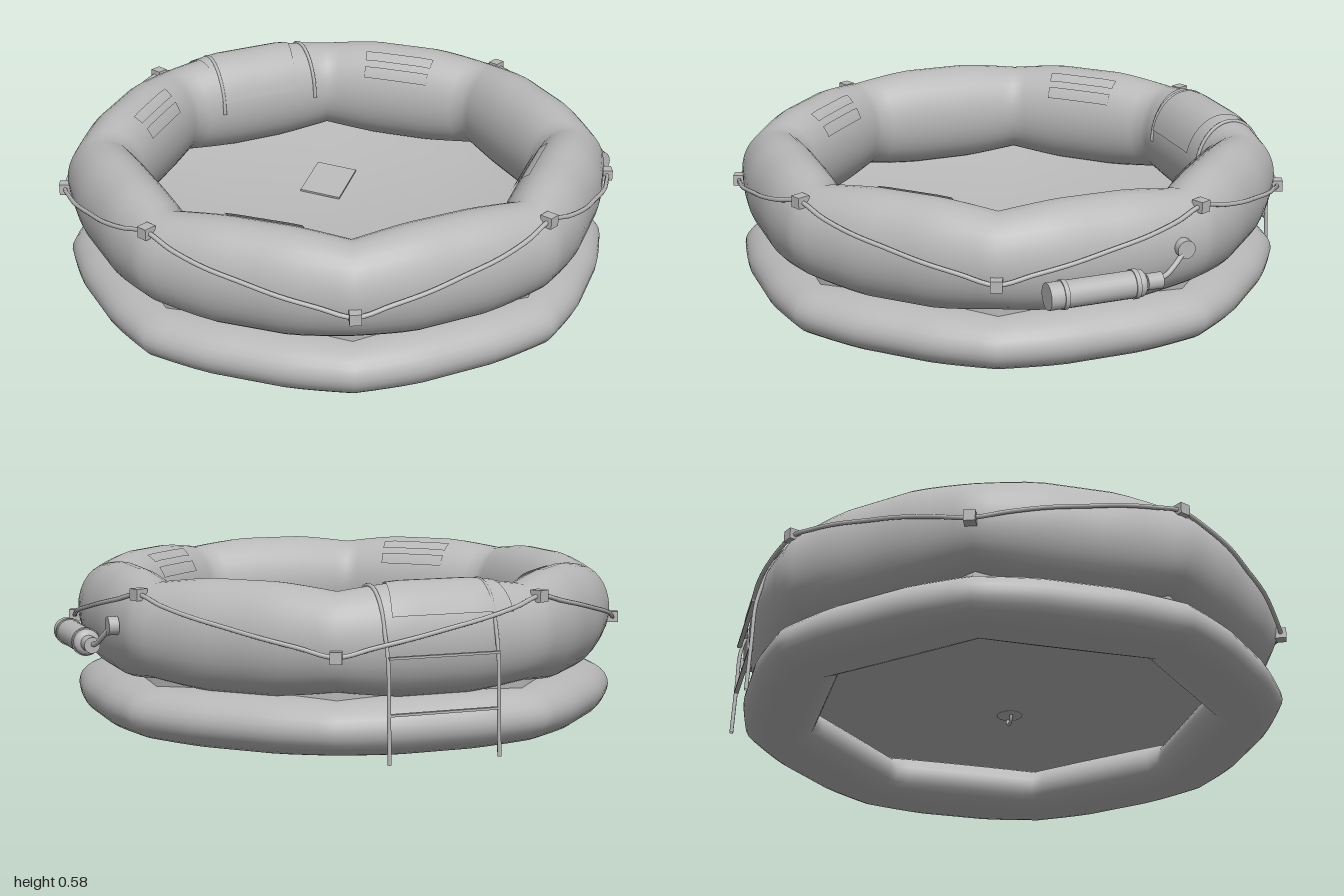
import * as THREE from 'three';
import { mergeVertices } from 'three/addons/utils/BufferGeometryUtils.js';

const grey = new THREE.MeshStandardMaterial({ color: 0xb8b8b8, side: THREE.DoubleSide });
grey.name = 'grey rubber';

const TAN = Math.tan(Math.PI / 8);
const SIDES = [0, 1, 2, 3, 4, 5, 6, 7];
const UPPER = { y: 0.39, ry: 0.19, rr: 0.14, inner: 0.67, pinchY: 0.13 };
const LOWER = { y: 0.108, ry: 0.099, rr: 0.142, inner: 0.668, pinchY: 0.07 };
const V = (x, y, z) => new THREE.Vector3(x, y, z);

function add(parent, name, geometry, x = 0, y = 0, z = 0) {
  const mesh = new THREE.Mesh(geometry, grey);
  mesh.name = name;
  mesh.position.set(x, y, z);
  parent.add(mesh);
  return mesh;
}

// Tube section at t (-1..1) along a side: pinched at the corners, full in the middle
function section(tube, t) {
  const pinch = Math.pow(Math.max(0, (Math.abs(t) - 0.35) / 0.65), 1.2);
  const rr = tube.rr * (1 - 0.14 * pinch);
  return { rr, ry: tube.ry * (1 - tube.pinchY * pinch), mid: tube.inner + rr };
}

// Point on octagon side k, at distance a from the middle and t along the side
function sidePoint(k, a, t, y) {
  const f = (k * Math.PI) / 4, s = a * TAN * t;
  return V(a * Math.cos(f) - s * Math.sin(f), y, a * Math.sin(f) + s * Math.cos(f));
}

function tubePoint(tube, k, t, angle, off = 0) {
  const { rr, ry, mid } = section(tube, t);
  return sidePoint(k, mid + (rr + off) * Math.cos(angle), t, tube.y + (ry + off) * Math.sin(angle));
}

// Outer distance of the upper tube at height y
function outerAt(t, y) {
  const { rr, ry, mid } = section(UPPER, t);
  return mid + rr * Math.sqrt(Math.max(0, 1 - ((y - UPPER.y) / ry) ** 2));
}

// Skin over part of the tube on the given sides, joined smoothly
function skin(tube, sides, t0, t1, a0, a1, nt, na, off = 0) {
  const pos = [], index = [];
  for (const k of sides) {
    const first = pos.length / 3;
    for (let i = 0; i <= nt; i++) {
      for (let j = 0; j <= na; j++) {
        const p = tubePoint(tube, k, t0 + ((t1 - t0) * i) / nt, a0 + ((a1 - a0) * j) / na, off);
        pos.push(p.x, p.y, p.z);
        if (i < nt && j < na) {
          const a = first + i * (na + 1) + j, b = a + na + 1;
          index.push(a, a + 1, b, a + 1, b + 1, b);
        }
      }
    }
  }
  let geometry = new THREE.BufferGeometry();
  geometry.setAttribute('position', new THREE.Float32BufferAttribute(pos, 3));
  geometry.setIndex(index);
  geometry = mergeVertices(geometry, 1e-4);
  geometry.computeVertexNormals();
  return geometry;
}

function pipe(points, radius, closed = false, steps = points.length * 4) {
  return new THREE.TubeGeometry(new THREE.CatmullRomCurve3(points, closed, 'centripetal'), steps, radius, 8, closed);
}

// Cylinder lying along z
function lying(radius, length) {
  return new THREE.CylinderGeometry(radius, radius, length, 24).rotateX(Math.PI / 2);
}

function buildFloor(parent) {
  // Octagon sagging towards the middle
  const rings = 8, low = 0.095, pos = [0, low, 0], index = [];
  for (let r = 1; r <= rings; r++) {
    const u = r / rings;
    for (let k = 0; k < 8; k++) {
      const p = sidePoint(k, 0.81 * u, 1, low + 0.12 * u * u);
      pos.push(p.x, p.y, p.z);
      const a = 1 + (r - 1) * 8 + k, b = 1 + (r - 1) * 8 + ((k + 1) % 8);
      if (r === 1) index.push(0, b, a);
      else index.push(a - 8, b - 8, a, b - 8, b, a);
    }
  }
  const geometry = new THREE.BufferGeometry();
  geometry.setAttribute('position', new THREE.Float32BufferAttribute(pos, 3));
  geometry.setIndex(index);
  geometry.computeVertexNormals();
  add(parent, 'floor', geometry);
  const cap = add(parent, 'floorCap', new THREE.SphereGeometry(0.045, 20, 10), 0, low, 0);
  cap.scale.y = 0.15;
  add(parent, 'floorHook', new THREE.TorusGeometry(0.025, 0.006, 8, 16, Math.PI).rotateX(Math.PI), 0, low - 0.008, 0);
  const pocket = add(parent, 'floorPocket', new THREE.BoxGeometry(0.2, 0.008, 0.16), 0.16, 0.141, -0.42);
  pocket.quaternion.setFromUnitVectors(V(0, 1, 0), V(-0.06, 1, 0.155).normalize());
  pocket.rotateY(Math.PI / 4);
}

function buildRope(parent) {
  // Lifeline zigzagging between low and high corner clips
  const points = [];
  for (let k = 0; k < 8; k++) {
    const end = k % 2 ? 0.52 : 0.36, start = k % 2 ? 0.36 : 0.52;
    for (let i = 0; i < 6; i++) {
      const t = -1 + i / 3;
      const y = start + ((end - start) * (t + 1)) / 2;
      points.push(sidePoint(k, outerAt(t, y) + 0.012, t, y));
    }
    const clip = add(parent, 'ropeClip', new THREE.BoxGeometry(0.045, 0.04, 0.04));
    clip.position.copy(sidePoint(k, outerAt(1, end) + 0.01, 1, end));
    clip.rotation.y = -(k + 0.5) * Math.PI / 4;
  }
  add(parent, 'lifeline', pipe(points, 0.008, true, 240));
}

function buildLadder(parent) {
  const rails = [-0.17, 0.22];
  for (const x of rails) {
    const t = -x / (0.81 * TAN);
    const points = [];
    for (let i = 0; i <= 8; i++) {
      const p = tubePoint(UPPER, 6, t, Math.PI * (1 - (i / 8) * 0.9), 0.002);
      points.push(V(x, p.y, p.z));
    }
    points.push(V(x, 0.34, -0.965), V(x, 0.2, -0.972), V(x, 0.01, -0.98));
    add(parent, 'ladderRail', pipe(points, 0.007));
  }
  for (const y of [0.17, 0.355]) {
    add(parent, 'ladderRung', new THREE.BoxGeometry(0.39, 0.008, 0.016), 0.025, y, -0.972);
  }
  // Boarding pad over the tube between the rails
  add(parent, 'boardingPad', skin(UPPER, [6], -0.64, 0.5, 0.5, 2.9, 8, 16, 0.005));
}

function buildBottle(parent) {
  // Gas bottle strapped to the side, with hose and valve
  const x = 0.99, y = 0.325;
  add(parent, 'bottleBody', lying(0.046, 0.325), x, y, 0.0725);
  const shoulder = add(parent, 'bottleShoulder', new THREE.SphereGeometry(0.046, 24, 12), x, y, -0.09);
  shoulder.scale.z = 0.5;
  for (const z of [0.18, -0.07]) add(parent, 'bottleBand', lying(0.05, 0.016), x, y, z);
  add(parent, 'bottleNeck', lying(0.028, 0.055), x, y, -0.14);
  add(parent, 'bottleHose', pipe([
    V(x, y, -0.15), V(x - 0.01, 0.335, -0.19), V(x - 0.02, 0.36, -0.225), V(x - 0.04, 0.4, -0.27),
  ], 0.009));
  add(parent, 'hoseValve', new THREE.CylinderGeometry(0.032, 0.032, 0.035, 20).rotateZ(Math.PI / 2), x - 0.045, 0.405, -0.272);
}

export function createModel() {
  const model = new THREE.Group();
  model.name = 'inflatableRaft';
  const raft = new THREE.Group();
  raft.name = 'raft';
  raft.position.set(-0.038, 0, 0.01);
  model.add(raft);

  add(raft, 'upperTube', skin(UPPER, SIDES, -1, 1, 0, Math.PI * 2, 12, 32));
  add(raft, 'lowerTube', skin(LOWER, SIDES, -1, 1, 0, Math.PI * 2, 12, 28));
  // Seam joining the two tubes
  const seam = new THREE.CylinderGeometry(0.81 / Math.cos(Math.PI / 8), 0.81 / Math.cos(Math.PI / 8), 0.05, 8, 1, true);
  add(raft, 'tubeSeam', seam.rotateY(Math.PI / 8), 0, 0.208, 0);
  // Grip strips on the inner face of the diagonal sides
  for (const k of [1, 3, 5, 7]) {
    for (const a of [2.0, 2.4]) add(raft, 'gripStrip', skin(UPPER, [k], -0.45, 0.45, a, a + 0.25, 6, 4, 0.006));
  }
  buildFloor(raft);
  buildRope(raft);
  buildLadder(raft);
  buildBottle(raft);
  return model;
}
